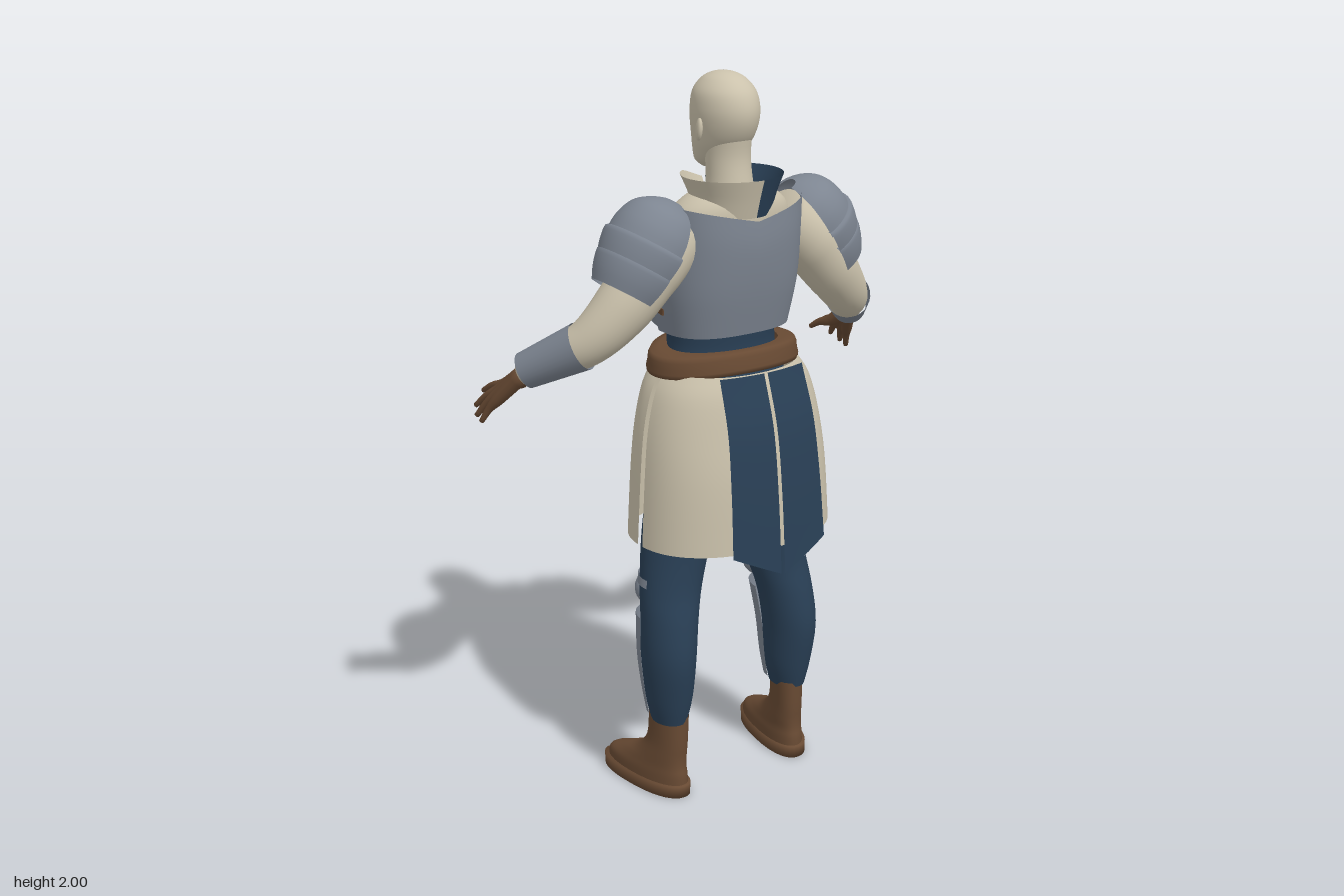
import * as THREE from 'three';

const mat = (name, color) => {
  const m = new THREE.MeshStandardMaterial({ color, side: THREE.DoubleSide });
  m.name = name;
  return m;
};
const V = (x, y, z) => new THREE.Vector3(x, y, z);
const DEG = Math.PI / 180;

// Skin a list of rings (equal point counts) into a surface
function grid(rings, closed = false) {
  const n = rings[0].length, pos = [], idx = [];
  rings.forEach(r => r.forEach(p => pos.push(p.x, p.y, p.z)));
  for (let i = 0; i < rings.length - 1; i++)
    for (let j = 0; j < (closed ? n : n - 1); j++) {
      const a = i * n + j, b = i * n + (j + 1) % n, c = a + n, d = b + n;
      idx.push(a, b, c, b, d, c);
    }
  const g = new THREE.BufferGeometry();
  g.setAttribute('position', new THREE.Float32BufferAttribute(pos, 3));
  g.setIndex(idx);
  g.computeVertexNormals();
  return g;
}

// Elliptic rows [y, cx, cz, rx, rz], smoothed upward; angle 0 is +z, 90 is +x
function stack(rows, { from = 0, to = 360, n = 36, sub = 4, exp = 1, warp } = {}) {
  const closed = to - from === 360, rings = [];
  const pw = v => Math.sign(v) * Math.abs(v) ** exp;
  const cr = (a, b, c, d, t) => b + 0.5 * t * (c - a + t * (2 * a - 5 * b + 4 * c - d + t * (3 * (b - c) + d - a)));
  const last = rows.length - 1;
  for (let i = 0; i <= last * sub; i++) {
    const k = Math.min(Math.floor(i / sub), last - 1), t = i / sub - k;
    const [y, cx, cz, rx, rz] = rows[k].map((b, q) =>
      cr(rows[Math.max(k - 1, 0)][q], b, rows[k + 1][q], rows[Math.min(k + 2, last)][q], t));
    const ring = [];
    for (let j = 0; j < (closed ? n : n + 1); j++) {
      const a = (from + (to - from) * j / n) * DEG;
      const p = V(cx + rx * pw(Math.sin(a)), y, cz + rz * pw(Math.cos(a)));
      if (warp) warp(p);
      ring.push(p);
    }
    rings.push(ring);
  }
  return grid(rings, closed);
}

// Tapered tube through points [x, y, z, radius], closed at both ends
function limb(pts, n = 20, steps = 24) {
  const curve = new THREE.CatmullRomCurve3(pts.map(p => V(p[0], p[1], p[2])));
  const { normals, binormals } = curve.computeFrenetFrames(steps);
  const rings = [];
  for (let i = -1; i <= steps + 1; i++) {
    const k = THREE.MathUtils.clamp(i, 0, steps), u = k / steps * (pts.length - 1);
    const q = Math.min(Math.floor(u), pts.length - 2);
    const r = i === k ? THREE.MathUtils.lerp(pts[q][3], pts[q + 1][3], u - q) : 0.0005;
    const c = curve.getPoint(k / steps);
    rings.push(Array.from({ length: n }, (_, j) => c.clone()
      .addScaledVector(normals[k], r * Math.cos(j / n * 2 * Math.PI))
      .addScaledVector(binormals[k], r * Math.sin(j / n * 2 * Math.PI))));
  }
  return grid(rings, true);
}

// Hanging cloth panel from x0 to x1, with a pointed hem and a curved face
function panel(x0, x1, profile, dir) {
  const curve = new THREE.CatmullRomCurve3(profile.map(([y, z]) => V(0, y, z)));
  const rings = [];
  for (let i = 0; i <= 16; i++) {
    const p = curve.getPoint(i / 16), ring = [];
    for (let j = 0; j <= 12; j++) {
      const x = THREE.MathUtils.lerp(x0, x1, j / 12);
      const y = p.y + (i / 16) ** 2 * 0.07 * Math.abs(x) / 0.145;
      ring.push(V(x * (0.9 + 0.12 * i / 16), y, p.z - dir * x * x * 0.9));
    }
    rings.push(ring);
  }
  return grid(rings);
}

export function createModel() {
  const cream = mat('cream', 0xcbc2ac), steel = mat('steel', 0x7d8591);
  const navy = mat('navy', 0x293f55), brown = mat('brown', 0x684a33);
  const model = new THREE.Group();
  model.name = 'armouredFigure';
  const add = (parent, name, geo, material) => {
    const m = new THREE.Mesh(geo, material);
    m.name = name;
    parent.add(m);
    return m;
  };

  // Head: an egg with facial relief, face towards -z. Bumps: x, y, rx, ry, depth
  const bumps = [[0, 1.822, 0.014, 0.013, 0.02], [0, 1.846, 0.009, 0.02, 0.011],
    [0.032, 1.861, 0.016, 0.011, -0.011], [0.032, 1.859, 0.01, 0.006, 0.006],
    [0.03, 1.88, 0.022, 0.008, 0.004], [0, 1.79, 0.02, 0.006, 0.008],
    [0, 1.779, 0.018, 0.005, 0.007], [0, 1.757, 0.02, 0.01, 0.009]];
  const face = p => {
    if (p.z > -0.01) return;
    for (const [x, y, rx, ry, d] of bumps)
      p.z -= d * Math.exp(-(((Math.abs(p.x) - x) / rx) ** 2) - ((p.y - y) / ry) ** 2);
  };
  add(model, 'head', stack([[1.745, 0, -0.05, 0.02, 0.02], [1.765, 0, -0.035, 0.048, 0.05],
    [1.8, 0, -0.01, 0.065, 0.076], [1.83, 0, 0.006, 0.074, 0.092], [1.87, 0, 0.015, 0.081, 0.103],
    [1.91, 0, 0.018, 0.083, 0.104], [1.95, 0, 0.016, 0.076, 0.093], [1.98, 0, 0.014, 0.054, 0.066],
    [1.995, 0, 0.013, 0.028, 0.034], [2, 0, 0.013, 0.001, 0.001]], { n: 80, sub: 8, warp: face }), cream);
  add(model, 'neck', stack([[1.62, 0, 0.045, 0.085, 0.08], [1.7, 0, 0.04, 0.063, 0.066],
    [1.78, 0, 0.032, 0.058, 0.062], [1.84, 0, 0.03, 0.06, 0.07]]), cream);

  // Shirt, waist and the two-tone collar
  add(model, 'shirt', stack([[1.3, 0, 0.005, 0.15, 0.11], [1.45, 0, 0, 0.18, 0.125],
    [1.58, 0, 0.015, 0.19, 0.125], [1.65, 0, 0.035, 0.17, 0.11], [1.69, 0, 0.045, 0.125, 0.09],
    [1.71, 0, 0.045, 0.07, 0.06]]), cream);
  add(model, 'waist', stack([[1.2, 0, 0.01, 0.18, 0.13], [1.28, 0, 0, 0.155, 0.12],
    [1.37, 0, 0, 0.16, 0.128]]), navy);
  const collarRows = [[1.64, 0, 0.05, 0.105, 0.1], [1.69, 0, 0.052, 0.115, 0.112], [1.742, 0, 0.05, 0.137, 0.13]];
  const notch = p => { if (p.z < 0) p.y += 0.4 * p.z * Math.max(0, 1 - Math.abs(p.x) / 0.09); };
  add(model, 'collarLeft', stack(collarRows, { from: 4, to: 178, warp: notch }), navy);
  add(model, 'collarRight', stack(collarRows, { from: 182, to: 364, warp: notch }), cream);

  // Back plate, with its upper edge rising to the shoulders
  add(model, 'backPlate', stack([[1.33, 0, 0, 0.18, 0.135], [1.45, 0, 0, 0.2, 0.16],
    [1.56, 0, 0.005, 0.205, 0.168], [1.635, 0, 0.015, 0.205, 0.155]], { from: -98, to: 98, exp: 0.75,
    warp: p => { p.y += Math.max(0, (p.y - 1.45) / 0.185) * 0.045 * Math.abs(p.x) / 0.2 * (p.z > 0.06 ? 1 : -1.5 + p.z * 40); } }), steel);

  // Faceted breastplate; each row: side, corner and ridge points
  const breast = [
    [[0.17, 1.33, -0.035], [0.145, 1.33, -0.12], [0, 1.33, -0.163]],
    [[0.203, 1.47, -0.04], [0.185, 1.47, -0.142], [0, 1.46, -0.178]],
    [[0.2, 1.53, -0.045], [0.185, 1.56, -0.125], [0, 1.55, -0.15]],
    [[0.185, 1.57, -0.05], [0.165, 1.665, -0.07], [0, 1.625, -0.095]]];
  const breastGeo = grid(breast.map(r => [...r.map(p => V(...p)), ...r.slice(0, 2).reverse().map(p => V(-p[0], p[1], p[2]))])).toNonIndexed();
  breastGeo.computeVertexNormals();
  add(model, 'breastPlate', breastGeo, steel);

  // Belt, drooping at the sides, with a square buckle
  add(model, 'belt', stack([[1.235, 0, 0.01, 0.19, 0.13], [1.236, 0, 0.01, 0.222, 0.16], [1.262, 0, 0.01, 0.219, 0.156],
    [1.29, 0, 0.01, 0.212, 0.148], [1.291, 0, 0.01, 0.16, 0.12]], { n: 48, sub: 2,
    warp: p => { p.y -= 0.015 * (p.x / 0.22) ** 2; } }), brown);
  const buckle = add(model, 'buckle', new THREE.TorusGeometry(0.034, 0.006, 6, 4, Math.PI * 2), brown);
  buckle.geometry.rotateZ(Math.PI / 4);
  buckle.position.set(0, 1.262, -0.15);

  // Skirt halves, open at the sides
  const skirtRows = [[0.765, 0, 0.038, 0.29, 0.218], [0.95, 0, 0.036, 0.278, 0.21], [1.08, 0, 0.03, 0.262, 0.195],
    [1.18, 0, 0.025, 0.235, 0.18], [1.235, 0, 0.02, 0.2, 0.162]];
  add(model, 'skirtBack', stack(skirtRows, { from: -88, to: 88, exp: 0.9 }), cream);
  add(model, 'skirtFront', stack(skirtRows, { from: 92, to: 268, exp: 0.9 }), cream);
  const backLine = [[1.24, 0.205], [1.1, 0.25], [0.92, 0.275], [0.7, 0.292]];
  add(model, 'backPanelLeft', panel(0.006, 0.147, backLine, 1), navy);
  add(model, 'backPanelRight', panel(-0.147, -0.006, backLine, 1), navy);
  add(model, 'frontPanel', panel(-0.135, 0.135, [[1.235, -0.155], [1.1, -0.18], [0.92, -0.193], [0.7, -0.2]], -1), navy);

  // One side of the body, mirrored for the other
  for (const s of [1, -1]) {
    const side = new THREE.Group();
    side.name = s > 0 ? 'leftSide' : 'rightSide';
    side.scale.x = s;
    model.add(side);

    // Ear
    const ear = add(side, 'ear', new THREE.SphereGeometry(1, 14, 10), cream);
    ear.scale.set(0.009, 0.03, 0.018);
    ear.position.set(0.083, 1.858, 0.022);
    ear.rotation.set(0.15, 0.4, 0);

    // Arm, forearm guard and hand
    add(side, 'arm', limb([[0.15, 1.61, 0.045, 0.08], [0.25, 1.53, 0.05, 0.086], [0.335, 1.435, 0.045, 0.077],
      [0.415, 1.35, 0.012, 0.062], [0.47, 1.305, -0.05, 0.053], [0.535, 1.25, -0.13, 0.033]], 28, 36), cream);
    const a = V(0.432, 1.337, 0), b = V(0.533, 1.26, -0.118);
    const guard = add(side, 'forearmGuard', new THREE.CylinderGeometry(0.049, 0.064, a.distanceTo(b), 28, 1, true), steel);
    guard.position.copy(a).lerp(b, 0.5);
    guard.quaternion.setFromUnitVectors(V(0, 1, 0), b.clone().sub(a).normalize());
    const fingers = [[0.548, 1.2, -0.208, 0.565, 1.165, -0.294], [0.563, 1.187, -0.21, 0.597, 1.133, -0.28],
      [0.575, 1.178, -0.2, 0.61, 1.115, -0.252], [0.58, 1.172, -0.185, 0.611, 1.106, -0.224],
      [0.513, 1.207, -0.18, 0.494, 1.178, -0.245]];
    for (const [kx, ky, kz, tx, ty, tz] of fingers)
      add(side, 'finger', limb([[0.535, 1.25, -0.125, 0.024], [kx, ky, kz, 0.017],
        [(kx + tx) / 2, (ky + ty) / 2 + 0.006, (kz + tz) / 2, 0.011], [tx, ty, tz, 0.007]], 10, 12), brown);

    // Layered shoulder armour: three half shells around the arm
    const shoulder = new THREE.Group();
    shoulder.name = 'shoulderArmour';
    shoulder.position.set(0.21, 1.64, 0.047);
    shoulder.rotation.z = Math.atan2(0.55, 0.835);
    side.add(shoulder);
    const lames = [[[0.055, 0.025], [0.045, 0.052], [0.025, 0.084], [0, 0.104], [-0.04, 0.118], [-0.085, 0.121]],
      [[-0.07, 0.112], [-0.075, 0.128], [-0.11, 0.125], [-0.145, 0.116]],
      [[-0.13, 0.106], [-0.135, 0.12], [-0.175, 0.112], [-0.212, 0.097]]];
    for (const l of lames)
      add(shoulder, 'shoulderLame', stack(l.map(([y, r]) => [y, 0, 0, r, r]).reverse(), { from: -8, to: 188, n: 28, sub: 3 }), steel);

    // Straps joining the breast and back plates
    for (const y of [1.4, 1.48]) {
      const strap = add(side, 'sideStrap', new THREE.BoxGeometry(0.01, 0.018, 0.1), brown);
      strap.position.set(y * 0.22 - 0.118, y, -0.035);
      strap.rotation.x = 0.2;
    }

    // Leg, knee band, knee cap and greave
    add(side, 'leg', stack([[0.225, 0.205, 0.04, 0.046, 0.06], [0.3, 0.205, 0.042, 0.062, 0.075],
      [0.42, 0.207, 0.045, 0.071, 0.089], [0.53, 0.196, 0.034, 0.077, 0.087], [0.62, 0.178, 0.016, 0.086, 0.086],
      [0.75, 0.148, 0, 0.095, 0.1], [0.92, 0.115, 0, 0.1, 0.11], [1.15, 0.09, 0.005, 0.09, 0.11]]), navy);
    add(side, 'kneeBand', stack([[0.628, 0.177, 0.015, 0.092, 0.092], [0.65, 0.171, 0.011, 0.093, 0.093]],
      { from: s > 0 ? 30 : 80, to: 255, sub: 1 }), steel);
    const cap = add(side, 'kneeCap', new THREE.SphereGeometry(1, 24, 16), steel);
    cap.scale.set(0.062, 0.056, 0.045);
    cap.position.set(0.183, 0.588, -0.055);
    add(side, 'greave', stack([[0.245, 0.203, 0.025, 0.055, 0.06], [0.32, 0.203, 0.025, 0.067, 0.075],
      [0.42, 0.203, 0.025, 0.077, 0.088], [0.535, 0.192, 0.015, 0.083, 0.092]], { from: 95, to: 270, n: 24 }), steel);

    // Boot, toe turned outward, and its sole
    const splay = p => { p.x -= (p.z - 0.04) * 0.14; };
    add(side, 'boot', stack([[0.03, 0.208, -0.048, 0.057, 0.15], [0.06, 0.208, -0.045, 0.056, 0.145],
      [0.085, 0.208, -0.02, 0.051, 0.115], [0.115, 0.207, 0.012, 0.047, 0.082], [0.16, 0.206, 0.034, 0.043, 0.063],
      [0.24, 0.205, 0.04, 0.044, 0.059]], { warp: splay, exp: 0.9 }), brown);
    add(side, 'sole', stack([[0, 0.21, -0.05, 0.001, 0.001], [0.001, 0.21, -0.05, 0.061, 0.159],
      [0.036, 0.21, -0.05, 0.062, 0.16], [0.037, 0.21, -0.05, 0.03, 0.1]], { warp: splay, sub: 1, exp: 0.85 }).toNonIndexed(), brown);
  }
  return model;
}
